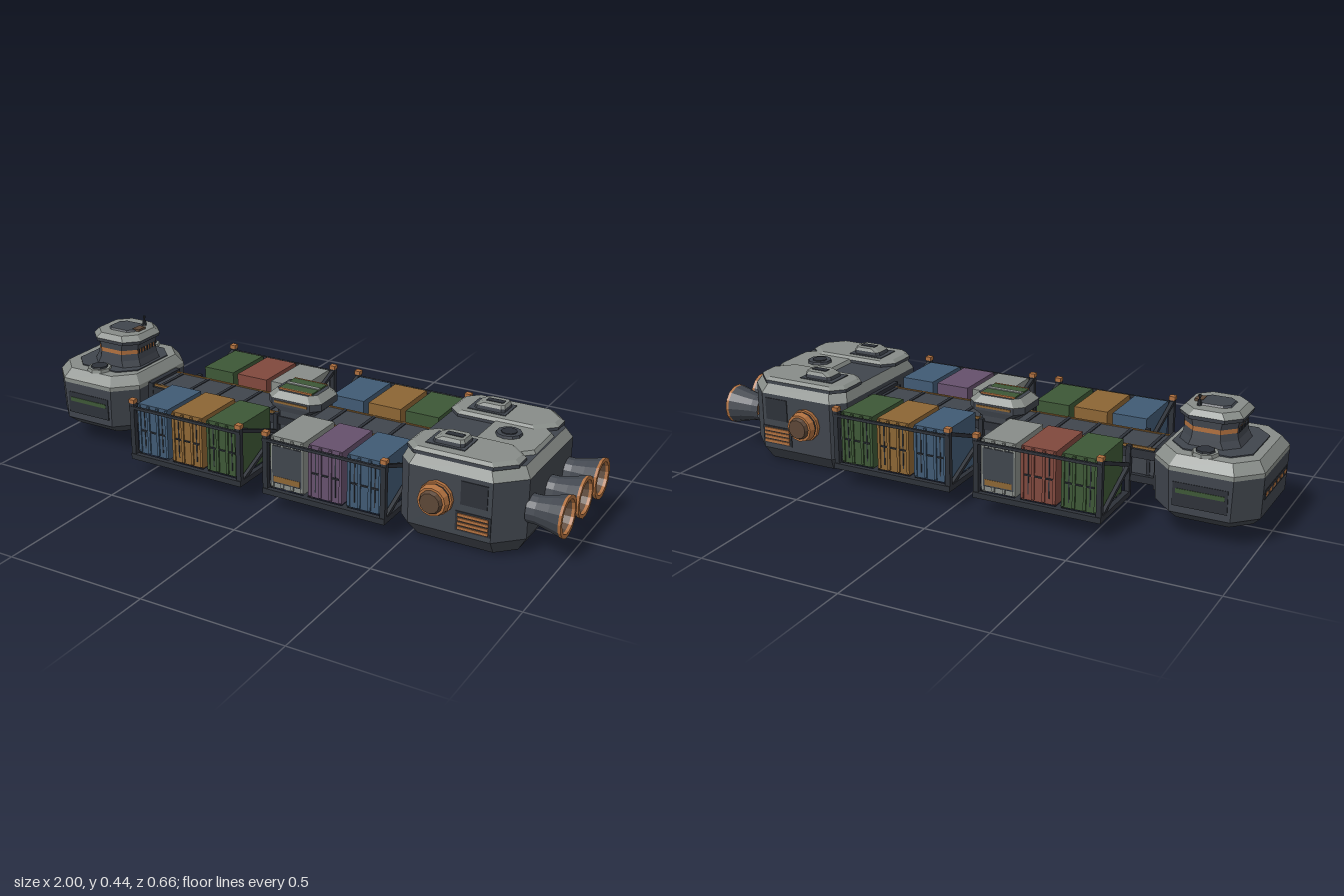
import * as THREE from 'three';

const paint = (name, color, double) => {
  const m = new THREE.MeshStandardMaterial({ color, flatShading: true, side: double ? THREE.DoubleSide : THREE.FrontSide });
  m.name = name;
  return m;
};
const DARK = paint('hull slate', 0x40454d, true);
const FRAME = paint('frame charcoal', 0x2d3138);
const GREY = paint('plate grey', 0x878c88);
const COPPER = paint('copper', 0xb0703f, true);
const BURNT = paint('burnt brown', 0x5c4636, true);
const BLUE = paint('cargo blue', 0x405a74);
const OCHRE = paint('cargo ochre', 0x8c6534);
const GREEN = paint('cargo green', 0x3d5736);
const RED = paint('cargo red', 0x80483d);
const PURPLE = paint('cargo purple', 0x65506c);

// Stacked octagons: levels are [y, x0, x1, halfZ, chamfer at x0, chamfer at x1]
// mats: one per band from the bottom, then the top cap
function hullGeometry(levels) {
  const pos = [];
  const geo = new THREE.BufferGeometry();
  const rings = levels.map(([y, a, b, h, ca, cb = ca]) => [
    [b, y, h - cb], [b, y, cb - h], [b - cb, y, -h], [a + ca, y, -h],
    [a, y, ca - h], [a, y, h - ca], [a + ca, y, h], [b - cb, y, h]]);
  const tri = (...p) => p.forEach(v => pos.push(...v));
  for (let k = 0; k < rings.length - 1; k++) {
    const lo = rings[k], hi = rings[k + 1];
    for (let i = 0; i < 8; i++) {
      const j = (i + 1) % 8;
      tri(lo[i], lo[j], hi[j]);
      tri(lo[i], hi[j], hi[i]);
    }
    geo.addGroup(k * 48, 48, k);
  }
  const top = rings[rings.length - 1], bottom = rings[0], start = pos.length / 3;
  for (let i = 1; i < 7; i++) tri(top[0], top[i], top[i + 1]);
  geo.addGroup(start, 18, rings.length - 1);
  for (let i = 1; i < 7; i++) tri(bottom[0], bottom[i + 1], bottom[i]);
  geo.addGroup(start + 18, 18, 0);
  geo.setAttribute('position', new THREE.Float32BufferAttribute(pos, 3));
  geo.computeVertexNormals();
  return geo;
}

export function createModel() {
  const ship = new THREE.Group();
  ship.name = 'cargoShip';
  const add = (name, geo, mat, x = 0, y = 0, z = 0, parent = ship) => {
    const m = new THREE.Mesh(geo, mat);
    m.name = name;
    m.position.set(x, y, z);
    parent.add(m);
    return m;
  };
  // Box given by its extents
  const box = (name, mat, x0, x1, y0, y1, z0, z1, parent) =>
    add(name, new THREE.BoxGeometry(x1 - x0, y1 - y0, Math.abs(z1 - z0)), mat,
      (x0 + x1) / 2, (y0 + y1) / 2, (z0 + z1) / 2, parent);
  const hull = (name, levels, mats, z = 0) => add(name, hullGeometry(levels), mats, 0, 0, z);
  const disc = (name, mat, x, y, z, r0, r1, h, sides = 8) =>
    add(name, new THREE.CylinderGeometry(r1, r0, h, sides), mat, x, y, z);
  // Bar between two points
  const bar = (name, mat, a, b, t) => {
    const p = new THREE.Vector3(...a), q = new THREE.Vector3(...b);
    const m = add(name, new THREE.BoxGeometry(t, t, p.distanceTo(q)), mat);
    m.position.copy(p).add(q).multiplyScalar(0.5);
    m.lookAt(q);
    return m;
  };

  // Spine with edge rails and ribs
  box('spine', DARK, -0.66, 0.48, 0.115, 0.235, -0.068, 0.068);
  for (const s of [-1, 1]) {
    box('spineStripe', OCHRE, -0.65, 0.47, 0.225, 0.238, s * 0.066, s * 0.074);
    box('spineRail', FRAME, -0.65, 0.47, 0.2, 0.23, s * 0.068, s * 0.084);
    box('spineLowerRail', FRAME, -0.65, 0.47, 0.115, 0.14, s * 0.068, s * 0.084);
  }
  for (let i = 0; i < 10; i++) {
    const x = -0.6 + i * 0.115;
    box('spineRib', FRAME, x, x + 0.012, 0.11, 0.238, -0.072, 0.072);
  }

  // Middle module
  hull('middleModule', [[0.1, -0.1, 0.03, 0.08, 0.02], [0.25, -0.1, 0.03, 0.08, 0.02], [0.27, -0.14, 0.07, 0.085, 0.03],
    [0.295, -0.14, 0.07, 0.085, 0.03], [0.318, -0.115, 0.045, 0.065, 0.025]], [DARK, DARK, DARK, GREY, DARK]);
  box('moduleRoof', GREEN, -0.1, 0.03, 0.316, 0.323, -0.05, 0.05);
  box('moduleRoofStrip', GREY, -0.1, 0.03, 0.32, 0.326, -0.008, 0.008);
  for (const s of [-1, 1]) {
    box('moduleStripe', OCHRE, -0.1, 0.03, 0.28, 0.288, s * 0.084, s * 0.088);
    box('moduleRoofTrim', COPPER, -0.1, 0.03, 0.317, 0.324, s * 0.05, s * 0.055);
  }
  box('moduleKeel', FRAME, -0.08, 0.01, 0.085, 0.115, -0.045, 0.045);

  // Cargo bays: open frames with three containers each
  function cargoBay(x0, s, colours) {
    const x1 = x0 + 0.455;
    for (const z of [0.1, 0.32]) box('bayRail', FRAME, x0, x1, 0.06, 0.08, s * (z - 0.009), s * (z + 0.009));
    box('bayOuterTopRail', FRAME, x0, x1, 0.25, 0.26, s * 0.319, s * 0.328);
    for (let i = 0; i < 4; i++) {
      const x = x0 + 0.009 + i * 0.1457;
      box('bayCrossRail', FRAME, x - 0.009, x + 0.009, 0.06, 0.08, s * 0.09, s * 0.325);
    }
    for (const x of [x0 + 0.009, x1 - 0.009]) {
      box('bayPost', FRAME, x - 0.009, x + 0.009, 0.06, 0.275, s * 0.308, s * 0.326);
      box('bayPostCap', COPPER, x - 0.011, x + 0.011, 0.27, 0.284, s * 0.306, s * 0.328);
      box('bayInnerPost', FRAME, x - 0.008, x + 0.008, 0.06, 0.24, s * 0.075, s * 0.092);
      bar('bayLowerBrace', FRAME, [x, 0.068, s * 0.317], [x, 0.17, s * 0.08], 0.013);
      bar('bayUpperBrace', FRAME, [x, 0.262, s * 0.317], [x, 0.17, s * 0.08], 0.013);
    }
    colours.forEach((mat, i) => {
      const c = x0 + 0.084 + i * 0.1435, g = new THREE.Group();
      g.name = 'container';
      ship.add(g);
      box('containerBody', mat, c - 0.062, c + 0.062, 0.08, 0.266, s * 0.103, s * 0.305, g);
      for (const dx of [-0.057, -0.019, 0.019, 0.057])
        box('containerRib', mat, c + dx - 0.005, c + dx + 0.005, 0.085, 0.262, s * 0.304, s * 0.31, g);
      for (const dx of [-0.037, 0.037])
        box('doorSeam', FRAME, c + dx - 0.002, c + dx + 0.002, 0.1, 0.25, s * 0.304, s * 0.307, g);
      box('doorLatch', FRAME, c - 0.05, c + 0.05, 0.165, 0.17, s * 0.304, s * 0.309, g);
      // Plain grey box carries a dark door
      if (mat === GREY) {
        box('darkDoor', DARK, c - 0.056, c + 0.056, 0.1, 0.235, s * 0.304, s * 0.3105, g);
        box('doorStripe', OCHRE, c - 0.05, c + 0.05, 0.105, 0.125, s * 0.306, s * 0.3115, g);
      }
    });
  }
  cargoBay(-0.54, 1, [BLUE, OCHRE, GREEN]);
  cargoBay(0.002, 1, [GREY, PURPLE, BLUE]);
  cargoBay(-0.54, -1, [GREEN, RED, GREY]);
  cargoBay(0.002, -1, [BLUE, OCHRE, GREEN]);

  // Fore hull
  hull('foreHull', [[0.06, -0.965, -0.67, 0.165, 0.06], [0.095, -0.995, -0.645, 0.208, 0.075], [0.235, -1, -0.64, 0.212, 0.075],
    [0.25, -1, -0.64, 0.212, 0.075], [0.283, -0.975, -0.665, 0.185, 0.065]], [DARK, DARK, GREY, GREY, GREY]);
  hull('foreDeckInset', [[0.28, -0.945, -0.68, 0.145, 0.055], [0.287, -0.945, -0.68, 0.145, 0.055]], [DARK, DARK]);
  for (const s of [-1, 1]) {
    box('foreSidePanel', FRAME, -0.91, -0.73, 0.12, 0.2, s * 0.207, s * 0.213);
    box('foreSideStripe', GREEN, -0.9, -0.74, 0.165, 0.18, s * 0.209, s * 0.215);
    disc('foreHatchRing', GREY, -0.81, 0.288, s * 0.148, 0.045, 0.042, 0.012);
    disc('foreHatch', FRAME, -0.81, 0.293, s * 0.148, 0.034, 0.03, 0.014);
  }
  box('foreWindowBand', FRAME, -1.0, -0.995, 0.155, 0.185, -0.12, 0.12);
  for (let i = 0; i < 6; i++) {
    const z = -0.1 + i * 0.04;
    box('foreWindow', COPPER, -1.0, -0.996 + 0.002, 0.163, 0.175, z - 0.012, z + 0.012).position.x -= 0.001;
  }

  // Bridge tower
  hull('bridgeTower', [[0.28, -0.9, -0.69, 0.105, 0.045], [0.31, -0.885, -0.7, 0.1, 0.045], [0.333, -0.88, -0.705, 0.096, 0.042],
    [0.348, -0.88, -0.705, 0.096, 0.042], [0.375, -0.885, -0.7, 0.097, 0.042]], [DARK, DARK, COPPER, DARK, DARK]);
  hull('bridgeRoof', [[0.372, -0.895, -0.69, 0.103, 0.045], [0.385, -0.898, -0.687, 0.105, 0.046], [0.404, -0.88, -0.705, 0.092, 0.042]],
    [DARK, GREY, GREY]);
  hull('bridgeRoofPlate', [[0.403, -0.85, -0.735, 0.05, 0.02], [0.41, -0.845, -0.74, 0.045, 0.02]], [DARK, DARK]);
  for (let i = 0; i < 7; i++) {
    const z = -0.048 + i * 0.016;
    for (const x of [-0.882, -0.703]) box('windowMullion', FRAME, x - 0.002, x + 0.002, 0.332, 0.349, z - 0.002, z + 0.002);
  }
  box('roofBox', BURNT, -0.75, -0.722, 0.4, 0.412, -0.02, 0.02);
  disc('antennaBase', FRAME, -0.75, 0.412, -0.052, 0.008, 0.006, 0.02);
  disc('antenna', FRAME, -0.75, 0.425, -0.052, 0.003, 0.003, 0.025, 6);
  disc('antennaTip', FRAME, -0.75, 0.436, -0.052, 0.005, 0.005, 0.008, 6);

  // Engine hull
  hull('engineHull', [[0.008, 0.485, 0.85, 0.23, 0.045, 0.06], [0.06, 0.465, 0.88, 0.27, 0.045, 0.085],
    [0.265, 0.465, 0.88, 0.27, 0.045, 0.085], [0.3, 0.48, 0.858, 0.25, 0.045, 0.08]], [DARK, DARK, GREY, DARK]);
  hull('rearDeck', [[0.297, 0.64, 0.855, 0.12, 0.04], [0.312, 0.65, 0.845, 0.11, 0.035]], [GREY, GREY]);
  disc('deckHatchRing', DARK, 0.73, 0.315, 0, 0.045, 0.042, 0.012, 10);
  disc('deckHatch', FRAME, 0.73, 0.319, 0, 0.028, 0.026, 0.01, 10);
  for (const s of [-1, 1]) {
    hull('sideDeck', [[0.298, 0.475, 0.845, 0.09, 0.04, 0.06], [0.31, 0.475, 0.845, 0.09, 0.04, 0.06],
      [0.32, 0.49, 0.83, 0.078, 0.035, 0.055]], [DARK, GREY, GREY], s * 0.165);
    // Intake blocks
    box('intakeWell', DARK, 0.535, 0.67, 0.315, 0.323, s * 0.11, s * 0.21);
    hull('intakeBlock', [[0.318, 0.55, 0.66, 0.04, 0.01], [0.335, 0.555, 0.66, 0.038, 0.01], [0.346, 0.575, 0.655, 0.033, 0.01]],
      [DARK, GREY, GREY], s * 0.16);
    box('intakeSlot', FRAME, 0.585, 0.645, 0.342, 0.348, s * 0.148, s * 0.172);

    // Side thruster
    const thruster = new THREE.Group();
    thruster.name = 'sideThruster';
    thruster.position.set(0.61, 0.175, s * 0.265);
    thruster.rotation.x = s * Math.PI / 2;
    ship.add(thruster);
    [[COPPER, 0.057, 0.057, 0, 0.018], [FRAME, 0.05, 0.05, 0.018, 0.028], [COPPER, 0.054, 0.048, 0.028, 0.05], [BURNT, 0.04, 0.034, 0.05, 0.063]]
      .forEach(([mat, r0, r1, a, b]) =>
        add('thrusterRing', new THREE.CylinderGeometry(r1, r0, b - a, 12), mat, 0, (a + b) / 2, 0, thruster));

    // Side vent and plating
    box('ventBack', FRAME, 0.675, 0.795, 0.078, 0.145, s * 0.268, s * 0.273);
    for (let i = 0; i < 4; i++)
      box('ventSlat', COPPER, 0.683, 0.787, 0.084 + i * 0.015, 0.094 + i * 0.015, s * 0.27, s * 0.277);
    box('sidePlate', FRAME, 0.69, 0.78, 0.17, 0.25, s * 0.268, s * 0.273);
    box('keelSkid', FRAME, 0.56, 0.78, 0, 0.012, s * 0.1, s * 0.15);
  }
  box('engineSpineCollar', FRAME, 0.45, 0.475, 0.1, 0.25, -0.09, 0.09);
  box('foreSpineCollar', FRAME, -0.65, -0.62, 0.1, 0.245, -0.085, 0.085);

  // Main nozzles
  const v = (r, y) => new THREE.Vector2(r, y);
  for (const z of [-0.155, 0, 0.155]) {
    const nozzle = new THREE.Group();
    nozzle.name = 'mainNozzle';
    nozzle.position.set(0.875, 0.155, z);
    nozzle.rotation.z = -Math.PI / 2;
    ship.add(nozzle);
    const part = (name, mat, pts) => add(name, new THREE.LatheGeometry(pts, 14), mat, 0, 0, 0, nozzle);
    part('nozzleBell', DARK, [v(0.048, 0), v(0.048, 0.03), v(0.058, 0.075), v(0.069, 0.115)]);
    part('nozzleRim', COPPER, [v(0.069, 0.115), v(0.071, 0.125), v(0.057, 0.125), v(0.055, 0.115)]);
    part('nozzleInside', BURNT, [v(0.056, 0.118), v(0.038, 0.04)]);
    part('nozzleCore', COPPER, [v(0.039, 0.042), v(0.033, 0.044)]);
    part('nozzleThroat', BURNT, [v(0.034, 0.043), v(0, 0.043)]);
  }
  return ship;
}
